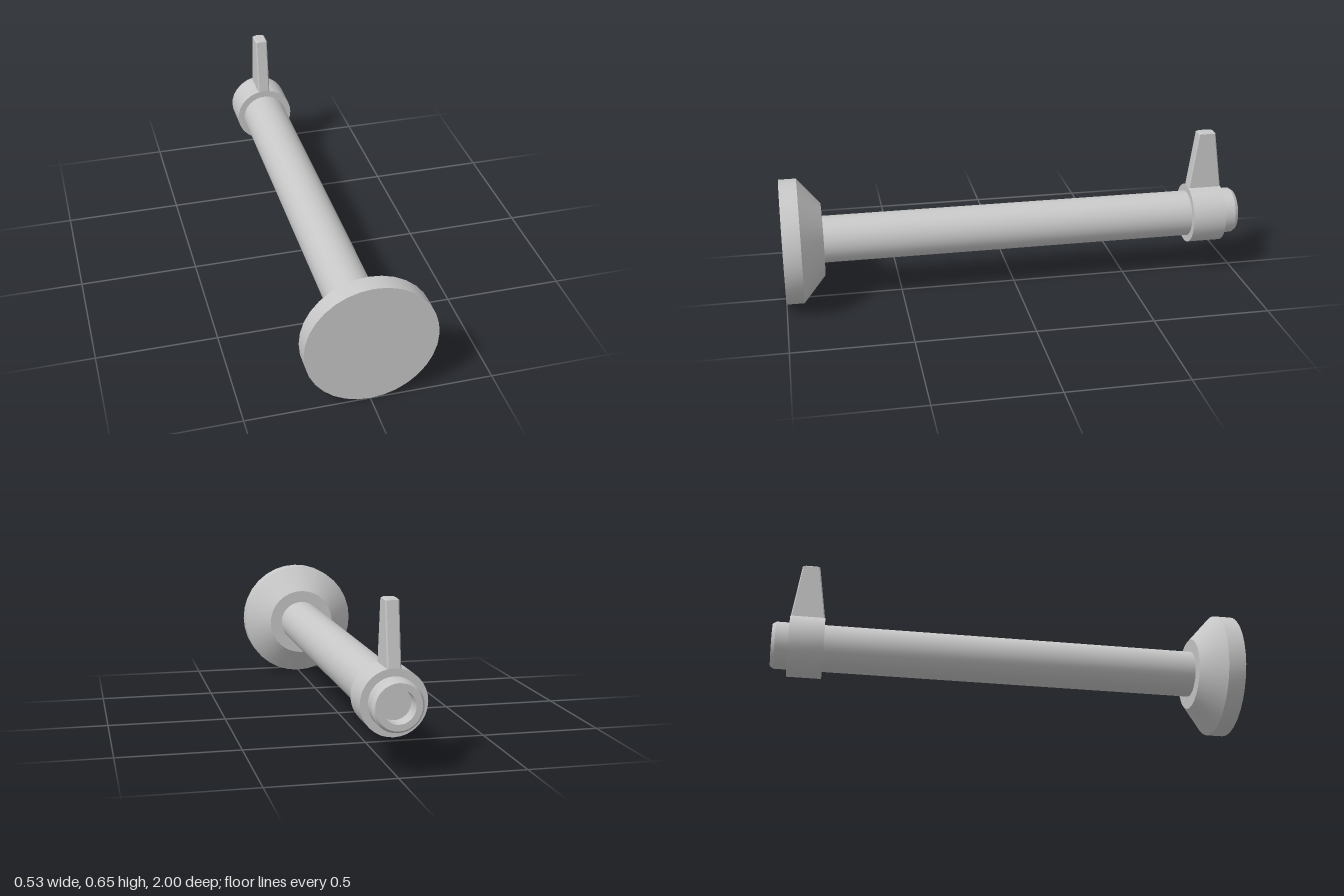
import * as THREE from 'three';
import { toCreasedNormals } from 'three/addons/utils/BufferGeometryUtils.js';

const AXIS_Y = 0.268;

export function createModel() {
  const model = new THREE.Group();
  const grey = new THREE.MeshStandardMaterial({ color: 0xc8c8c8 });
  grey.name = 'light grey';

  function add(name, geometry) {
    const mesh = new THREE.Mesh(geometry, grey);
    mesh.name = name;
    model.add(mesh);
  }

  // Turned part lying along z; profile is [radius, z] from back to front
  function turned(name, profile) {
    const points = profile.map(([r, z]) => new THREE.Vector2(r, z));
    const geometry = new THREE.LatheGeometry(points, 32);
    geometry.rotateX(Math.PI / 2).translate(0, AXIS_Y, 0);
    add(name, toCreasedNormals(geometry, 0.4));
  }

  // Broad disc with a conical back
  turned('flange', [[0, 0.83], [0.155, 0.83], [0.266, 0.925], [0.266, 1], [0, 1]]);

  // Long shaft with a chamfered, bored back end
  turned('shaft', [[0, -0.93], [0.065, -0.93], [0.065, -1], [0.09, -1], [0.1, -0.985], [0.1, 0.84]]);

  // Ring round the shaft
  turned('collar', [[0.099, -0.93], [0.13, -0.93], [0.13, -0.783], [0.099, -0.783]]);

  // Tapering lever: octagonal sections of [y, half width, half depth, chamfer x, chamfer z]
  const sections = [
    [0.37, 0.027, 0.0735, 0.005, 0.005],
    [0.395, 0.027, 0.0735, 0.005, 0.005],
    [0.643, 0.027, 0.038, 0.005, 0.005],
    [0.648, 0.022, 0.034, 0.01, 0.01],
  ];
  const rings = sections.map(([y, w, d, cx, cz]) => [
    [w, d - cz], [w, cz - d], [w - cx, -d], [cx - w, -d],
    [-w, cz - d], [-w, d - cz], [cx - w, d], [w - cx, d],
  ].map(([x, z]) => [x, y, z - 0.8565]));
  const positions = [];
  for (let s = 0; s < rings.length - 1; s++) {
    for (let i = 0; i < 8; i++) {
      const j = (i + 1) % 8;
      const a = rings[s][i], b = rings[s][j], c = rings[s + 1][j], d = rings[s + 1][i];
      positions.push(...a, ...b, ...c, ...a, ...c, ...d);
    }
  }
  const top = rings[rings.length - 1];
  for (let i = 1; i < 7; i++) positions.push(...top[0], ...top[i], ...top[i + 1]);
  const lever = new THREE.BufferGeometry();
  lever.setAttribute('position', new THREE.Float32BufferAttribute(positions, 3));
  lever.computeVertexNormals();
  add('lever', lever);

  return model;
}
